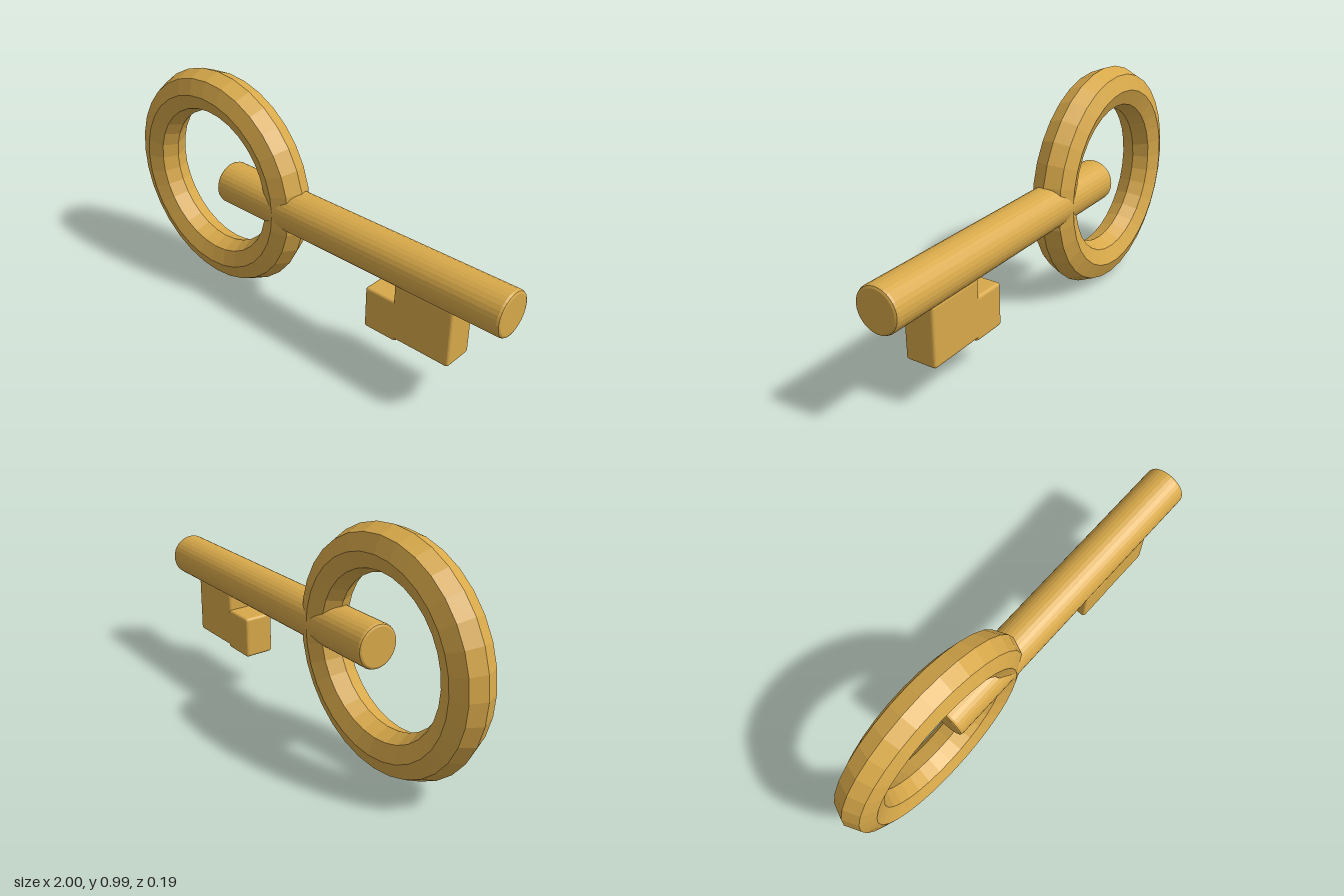
import * as THREE from 'three';
import { RoundedBoxGeometry } from 'three/addons/geometries/RoundedBoxGeometry.js';

const AXIS_Y = 0.5;

export function createModel() {
  const group = new THREE.Group();
  const brass = new THREE.MeshStandardMaterial({ color: 0xd8a94a, flatShading: true });

  const add = (name, geometry, x, y) => {
    const mesh = new THREE.Mesh(geometry, brass);
    mesh.name = name;
    mesh.position.set(x, y, 0);
    group.add(mesh);
    return mesh;
  };

  // Bow: ring with an eight-sided section
  add('bowRing', new THREE.TorusGeometry(0.402, 0.094, 8, 32), -0.504, AXIS_Y);

  // Shaft: round bar with bevelled ends, running through the ring
  const radius = 0.094, bevel = 0.012, half = 0.717;
  const profile = [
    [0, -half], [radius - bevel, -half], [radius - bevel * 0.3, -half + bevel * 0.3],
    [radius, -half + bevel], [radius, half - bevel],
    [radius - bevel * 0.3, half - bevel * 0.3], [radius - bevel, half], [0, half],
  ].map(([r, y]) => new THREE.Vector2(r, y));
  const shaft = add('shaft', new THREE.LatheGeometry(profile, 32), 0.279, AXIS_Y);
  shaft.rotation.z = -Math.PI / 2;

  // Bit: two overlapping blocks with softened edges, hung below the shaft
  const block = (name, x0, x1, y0, y1, depth) =>
    add(name, new RoundedBoxGeometry(x1 - x0, y1 - y0, depth, 2, 0.013), (x0 + x1) / 2, (y0 + y1) / 2);
  block('largeTooth', 0.525, 0.793, 0.185, 0.44, 0.138);
  block('smallTooth', 0.386, 0.545, 0.173, 0.36, 0.136);

  return group;
}
